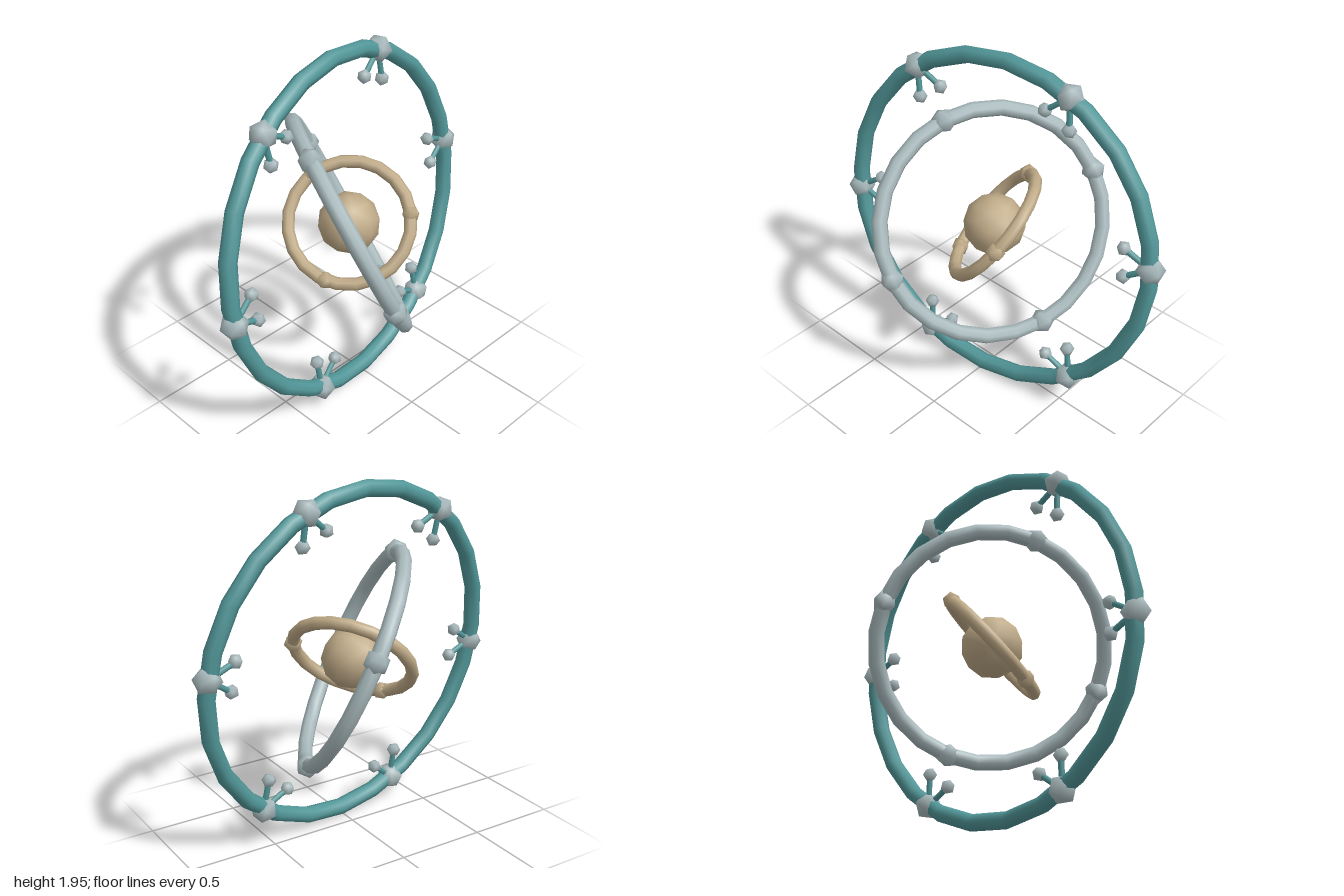
import * as THREE from 'three';
import { mergeVertices } from 'three/addons/utils/BufferGeometryUtils.js';

const teal = new THREE.MeshStandardMaterial({ name: 'teal', color: 0x529799 });
const silver = new THREE.MeshStandardMaterial({ name: 'silver', color: 0xa9babd });
const sand = new THREE.MeshStandardMaterial({ name: 'sand', color: 0xc0ab88 });

// low-poly ball with smooth normals
function ball(radius, detail) {
  let g = new THREE.IcosahedronGeometry(radius, detail);
  g.deleteAttribute('uv');
  g.deleteAttribute('normal');
  g = mergeVertices(g, 1e-4);
  g.computeVertexNormals();
  return g;
}

function add(parent, name, geometry, material) {
  const mesh = new THREE.Mesh(geometry, material);
  mesh.name = name;
  parent.add(mesh);
  return mesh;
}

// tilted ring: u and v are directions spanning its plane
function makeRing(o) {
  const group = new THREE.Group();
  group.name = o.name;
  const x = new THREE.Vector3(...o.u).normalize();
  const z = x.clone().cross(new THREE.Vector3(...o.v)).normalize();
  const y = z.clone().cross(x);
  group.quaternion.setFromRotationMatrix(new THREE.Matrix4().makeBasis(x, y, z));
  add(group, o.name + 'Band', new THREE.TorusGeometry(o.radius, o.tube, 8, o.segments), o.color);

  // evenly spaced joints
  const jointGeometry = ball(o.jointRadius, 0);
  for (let i = 0; i < o.joints; i++) {
    const spoke = new THREE.Group();
    spoke.name = o.name + 'Spoke';
    spoke.rotation.z = (o.start || 0) + (i * Math.PI * 2) / o.joints;
    group.add(spoke);
    add(spoke, 'joint', jointGeometry, o.jointColor).position.x = o.radius;
    if (o.prongs) addProngs(spoke, o.radius);
  }
  return group;
}

// pair of inward stalks with tips
const stalkGeometry = new THREE.CylinderGeometry(0.016, 0.016, 0.172, 6);
const tipGeometry = ball(0.04, 0);
function addProngs(spoke, radius) {
  for (const side of [-1, 1]) {
    const prong = new THREE.Group();
    prong.name = 'prong';
    prong.position.x = radius;
    prong.rotation.z = Math.PI / 2 + side * 0.485;
    spoke.add(prong);
    add(prong, 'stalk', stalkGeometry, teal).position.y = 0.086;
    add(prong, 'tip', tipGeometry, silver).position.y = 0.172;
  }
}

export function createModel() {
  const model = new THREE.Group();
  model.name = 'ringedOrb';
  const centre = new THREE.Group();
  centre.name = 'centre';
  centre.position.y = 0.985;
  model.add(centre);

  add(centre, 'core', ball(0.17, 1), sand);

  centre.add(
    makeRing({
      name: 'outerRing', u: [1, 0, -0.14], v: [0, 1, -0.115], radius: 0.935, tube: 0.046,
      segments: 24, color: teal, joints: 6, start: 0.108, jointRadius: 0.076,
      jointColor: silver, prongs: true,
    }),
    makeRing({
      name: 'middleRing', u: [-0.32, 0.545, 0.05], v: [-0.22, -0.185, 0.555], radius: 0.623,
      tube: 0.043, segments: 24, color: silver, joints: 4, jointRadius: 0.068, jointColor: silver,
    }),
    makeRing({
      name: 'innerRing', u: [0.68, 0.18, 0.71], v: [0.383, 0.749, -0.54], radius: 0.335,
      tube: 0.035, segments: 20, color: sand, joints: 3, jointRadius: 0.052, jointColor: sand,
    }),
  );
  return model;
}
